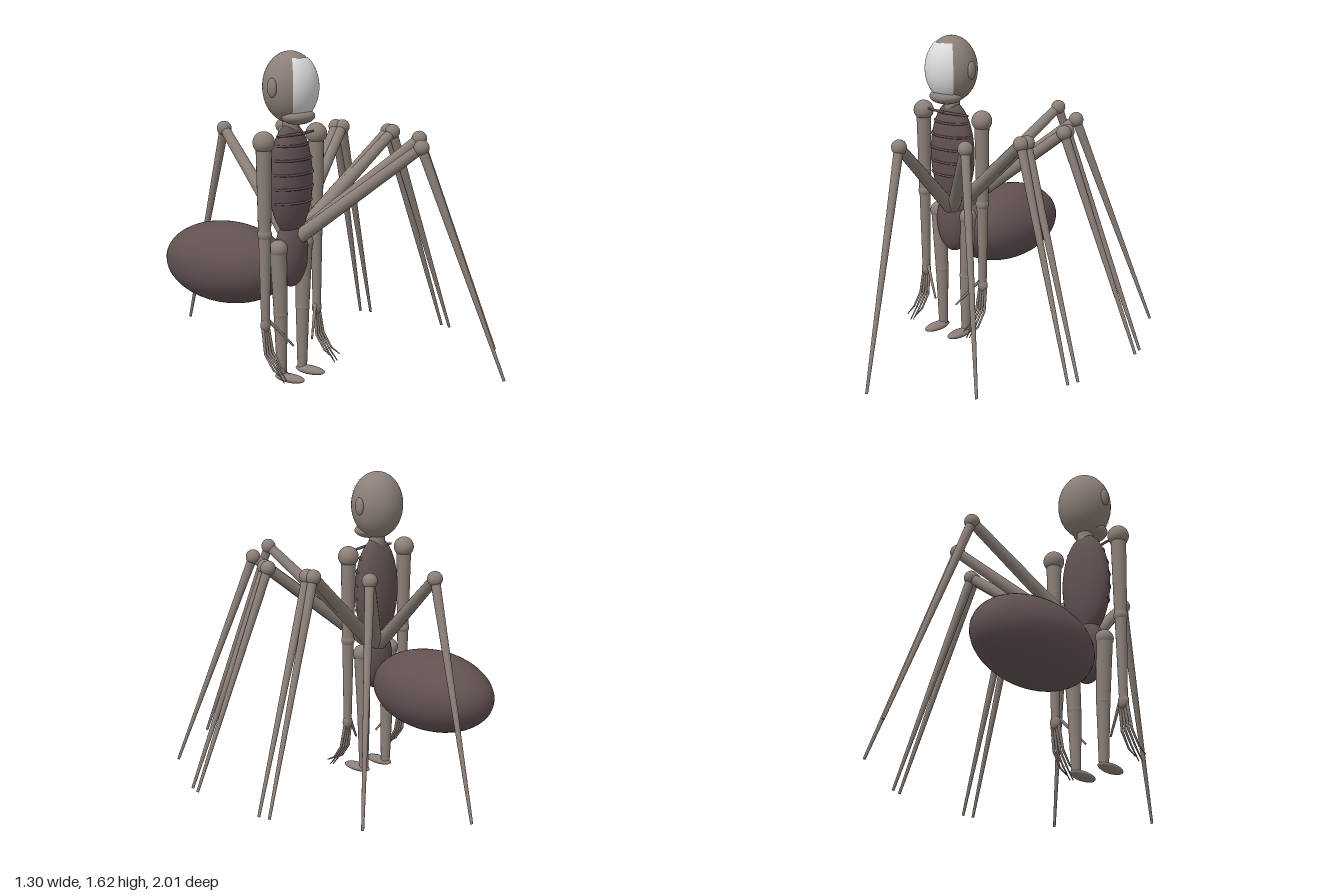
import * as THREE from 'three';

const V = (x, y, z) => new THREE.Vector3(x, y, z);

export function createModel() {
  const root = new THREE.Group();
  root.name = 'spiderFigure';
  const mat = (name, color) => {
    const m = new THREE.MeshStandardMaterial({ color });
    m.name = name;
    return m;
  };
  const skin = mat('greyBrownSkin', 0x8c8078);
  const dark = mat('darkBody', 0x625151);
  const pale = mat('paleMask', 0xdadada);

  const add = (name, geo, material, parent) => {
    const mesh = new THREE.Mesh(geo, material);
    mesh.name = name;
    parent.add(mesh);
    return mesh;
  };
  // Ellipsoid from centre and three radii
  const blob = (parent, name, material, p, rx, ry = rx, rz = rx) => {
    const m = add(name, new THREE.SphereGeometry(1, 40, 28), material, parent);
    m.position.copy(p);
    m.scale.set(rx, ry, rz);
    return m;
  };
  // Tapered rod between two points
  const rod = (parent, name, material, a, b, ra, rb, sides = 18) => {
    const d = b.clone().sub(a);
    const m = add(name, new THREE.CylinderGeometry(rb, ra, d.length(), sides), material, parent);
    m.position.copy(a).add(b).multiplyScalar(0.5);
    m.quaternion.setFromUnitVectors(V(0, 1, 0), d.normalize());
    return m;
  };

  // The human body is built about x = 0, then shifted
  const body = new THREE.Group();
  body.name = 'body';
  body.position.x = -0.393;
  root.add(body);

  // Head, jaw and mask
  blob(body, 'head', skin, V(0, 1.45, 0), 0.135, 0.173, 0.135);
  blob(body, 'jaw', skin, V(0, 1.312, 0.045), 0.091, 0.04, 0.078);
  const maskGeo = new THREE.SphereGeometry(1, 32, 24, Math.PI / 2 - 0.82, 1.64, Math.PI * 0.2, Math.PI * 0.56);
  maskGeo.rotateY(Math.PI); // sphere seam faces -x; swing the patch round to +z
  maskGeo.rotateY(Math.PI);
  const mask = add('mask', maskGeo, pale, body);
  mask.position.set(0, 1.45, 0.001);
  mask.scale.set(0.1385, 0.1765, 0.1385);
  rod(body, 'neck', skin, V(0, 1.2, 0), V(0, 1.33, 0), 0.042, 0.042);

  // Torso and ribs
  blob(body, 'torso', dark, V(0, 1.0, 0), 0.135, 0.28, 0.086);
  for (const y of [1.174, 1.105, 1.036, 0.967, 0.897]) {
    const k = Math.sqrt(1 - ((y - 1) / 0.28) ** 2);
    const rib = new THREE.CatmullRomCurve3(Array.from({ length: 13 }, (_, i) => {
      const a = (i / 12) * Math.PI;
      return V(0.133 * k * Math.cos(a), y, 0.089 * k * Math.sin(a));
    }));
    add('rib', new THREE.TubeGeometry(rib, 32, 0.006, 8), dark, body);
  }
  blob(body, 'pelvis', dark, V(0, 0.635, 0), 0.1, 0.168, 0.07);
  blob(body, 'abdomen', dark, V(0, 0.536, -0.41), 0.225, 0.206, 0.365);

  for (const s of [1, -1]) {
    const side = s > 0 ? 'left' : 'right';
    blob(body, side + 'Ear', skin, V(s * 0.135, 1.455, -0.005), 0.016, 0.046, 0.027);
    rod(body, side + 'Clavicle', dark, V(0, 1.228, 0.062), V(s * 0.14, 1.224, 0.03), 0.008, 0.006, 10);

    // Arm
    const arm = new THREE.Group();
    arm.name = side + 'Arm';
    arm.position.x = s * 0.207;
    body.add(arm);
    blob(arm, 'shoulder', skin, V(0, 1.204, 0), 0.053);
    rod(arm, 'upperArm', skin, V(0, 1.204, 0), V(0, 0.76, 0), 0.039, 0.031);
    blob(arm, 'elbow', skin, V(0, 0.762, 0), 0.035);
    rod(arm, 'forearm', skin, V(0, 0.76, 0), V(0, 0.33, 0), 0.03, 0.021);
    blob(arm, 'palm', skin, V(0, 0.317, 0), 0.029, 0.036, 0.022);
    [0.08, 0.05, 0.055, 0.085].forEach((tip, i) => {
      const x = (i - 1.5) * 0.019;
      const pts = [V(x * 0.7, 0.3, 0), V(x, 0.18, 0.02), V(x * 1.05, 0.11, 0.07), V(x * 1.05, tip, 0.12)];
      for (let j = 0; j < 3; j++) {
        rod(arm, 'finger', skin, pts[j], pts[j + 1], 0.0085 - j * 0.002, 0.0065 - j * 0.002, 10);
        if (j) blob(arm, 'knuckle', skin, pts[j], 0.0075 - j * 0.001);
      }
    });
    rod(arm, 'thumb', skin, V(-s * 0.02, 0.335, 0.005), V(-s * 0.132, 0.193, 0.068), 0.009, 0.005, 10);

    // Human leg
    const leg = new THREE.Group();
    leg.name = side + 'Leg';
    body.add(leg);
    const hip = V(s * 0.104, 0.672, 0), knee = V(s * 0.088, 0.345, 0), ankle = V(s * 0.083, 0.03, 0);
    blob(leg, 'hip', skin, hip, 0.046);
    rod(leg, 'thigh', skin, hip, knee, 0.042, 0.034);
    blob(leg, 'knee', skin, knee, 0.035);
    rod(leg, 'shin', skin, knee, ankle, 0.034, 0.024);
    blob(leg, 'foot', skin, V(s * 0.083, 0.027, 0.05), 0.037, 0.021, 0.087);
  }

  // Eight spider legs fanned toward +x, mirrored in z
  for (const s of [1, -1]) {
    for (const deg of [70.1, 41.4, 16.1, 12.8]) {
      const a = THREE.MathUtils.degToRad(deg) * s;
      const at = (r, y) => V(r * Math.cos(a), y, r * Math.sin(a));
      const leg = new THREE.Group();
      leg.name = 'spiderLeg';
      body.add(leg);
      const base = at(0.05, 0.725), knee = at(0.645, 1.18), tip = at(1.06, 0.074);
      blob(leg, 'spiderLegBase', skin, base, 0.035);
      rod(leg, 'spiderLegUpper', skin, base, knee, 0.036, 0.026);
      blob(leg, 'spiderLegKnee', skin, knee, 0.038);
      rod(leg, 'spiderLegLower', skin, knee, tip, 0.024, 0.007);
    }
  }
  return root;
}
